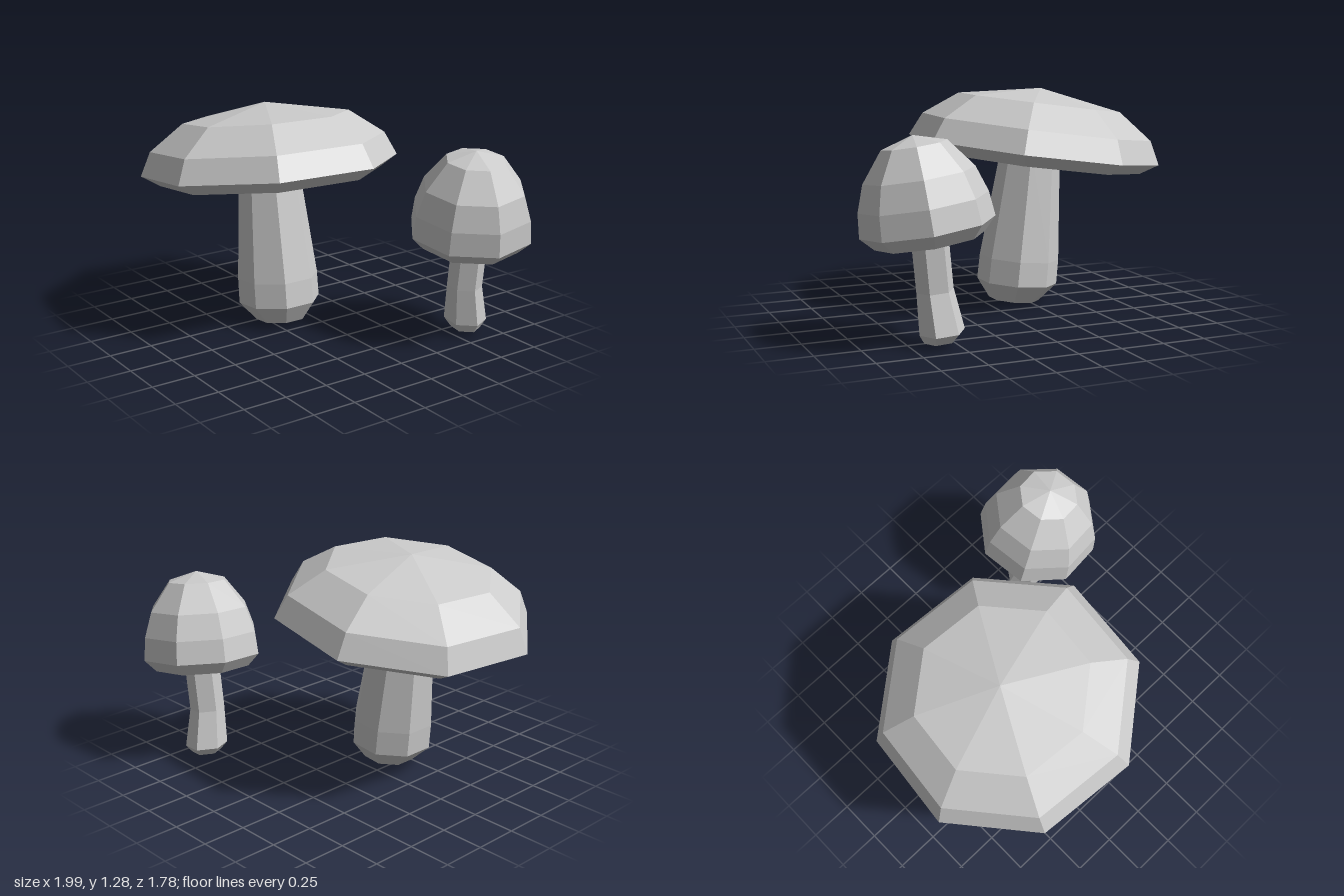
import * as THREE from 'three';

const material = new THREE.MeshStandardMaterial({ color: 0xcccccc, flatShading: true });

// Faceted skin through tilted rings, listed bottom to top.
// Each ring is { c: [x, y, z], r, sx, sz }, where sx and sz are the slopes of its plane.
function loft(name, rings, sides, phase) {
  const point = ({ c, r, sx = 0, sz = 0 }, j) => {
    const a = phase + (j / sides) * Math.PI * 2;
    const dx = r * Math.cos(a), dz = r * Math.sin(a);
    return [c[0] + dx, c[1] + sx * dx + sz * dz, c[2] + dz];
  };
  const pos = [];
  for (let i = 0; i < rings.length - 1; i++) {
    const lo = rings[i], up = rings[i + 1];
    for (let j = 0; j < sides; j++) {
      const a = point(lo, j), b = point(lo, j + 1), c = point(up, j + 1), d = point(up, j);
      if (up.r > 0) pos.push(...a, ...d, ...c);
      if (lo.r > 0) pos.push(...a, ...(up.r > 0 ? c : d), ...b);
    }
  }
  const geo = new THREE.BufferGeometry();
  geo.setAttribute('position', new THREE.Float32BufferAttribute(pos, 3));
  geo.computeVertexNormals();
  const mesh = new THREE.Mesh(geo, material);
  mesh.name = name;
  return mesh;
}

// Cap: a [radius, height] profile along an axis leaning with the rim's slopes.
function cap(name, [x, y, z], sx, sz, profile, phase) {
  const rings = profile.map(([r, h]) => ({ c: [x - sx * h, y + h, z - sz * h], r, sx, sz }));
  return loft(name, rings, 8, phase);
}

// Stem: rows of [x, y, z, radius], each ring tilted across the lean.
function stem(name, rows, sx, sides, phase) {
  return loft(name, rows.map(([x, y, z, r]) => ({ c: [x, y, z], r, sx })), sides, phase);
}

export function createModel() {
  const model = new THREE.Group();
  model.name = 'mushrooms';

  // Large mushroom with a broad, shallow cap
  const large = new THREE.Group();
  large.name = 'largeMushroom';
  large.add(
    cap('largeCap', [-0.285, 0.925, 0.17], 0.133, 0, [
      [0, -0.01], [0.3, -0.03], [0.64, -0.065], [0.745, 0], [0.68, 0.135], [0.48, 0.28], [0, 0.365],
    ], THREE.MathUtils.degToRad(-16.4)),
    stem('largeStem', [
      [-0.165, 0.005, 0.18, 0], [-0.165, 0.028, 0.18, 0.15], [-0.185, 0.135, 0.18, 0.238],
      [-0.2, 0.28, 0.18, 0.236], [-0.275, 0.92, 0.185, 0.176], [-0.275, 0.95, 0.185, 0],
    ], 0.09, 8, Math.PI / 8),
  );

  // Small mushroom with a tall, domed cap
  const small = new THREE.Group();
  small.name = 'smallMushroom';
  small.add(
    cap('smallCap', [0.65, 0.635, -0.555], -0.14, -0.07, [
      [0, -0.03], [0.14, -0.04], [0.285, -0.07], [0.352, 0], [0.338, 0.13], [0.29, 0.27], [0.17, 0.425], [0, 0.475],
    ], THREE.MathUtils.degToRad(15)),
    stem('smallStem', [
      [0.6, 0.03, -0.59, 0], [0.6, 0.036, -0.59, 0.085], [0.59, 0.085, -0.595, 0.122],
      [0.615, 0.3, -0.56, 0.1], [0.645, 0.6, -0.565, 0.1], [0.645, 0.64, -0.565, 0],
    ], -0.09, 6, 0.1),
  );

  model.add(large, small);
  return model;
}
